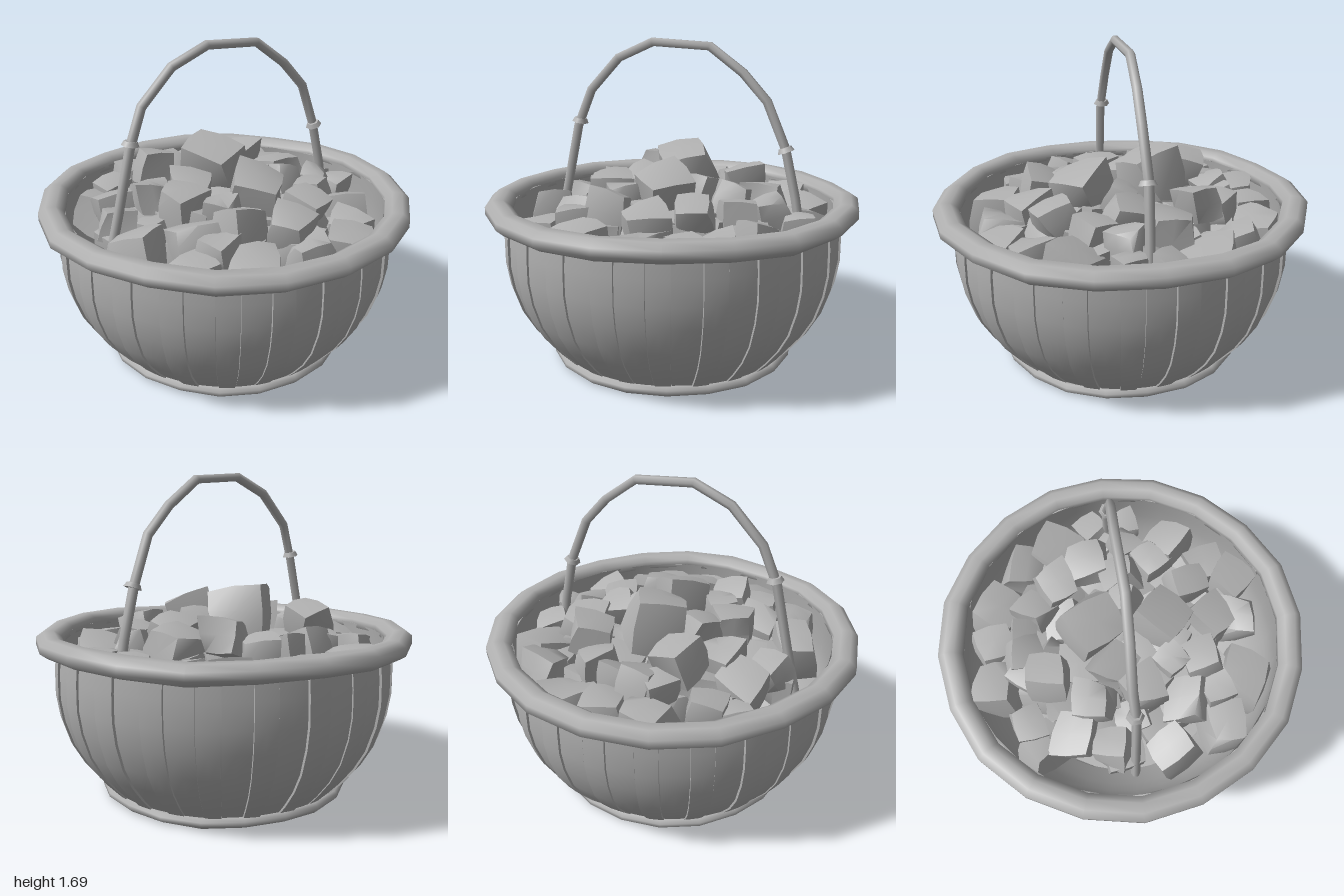
import * as THREE from 'three';
import { mergeVertices, toCreasedNormals } from 'three/addons/utils/BufferGeometryUtils.js';

const grey = new THREE.MeshStandardMaterial({ color: 0xb0b0b0 });
grey.name = 'grey';
const greyOpen = grey.clone();
greyOpen.name = 'grey';
greyOpen.side = THREE.DoubleSide;

let seed = 7;
const rand = () => (seed = (seed * 16807) % 2147483647) / 2147483647;
const jitter = (a) => (rand() * 2 - 1) * a;

function add(parent, name, geometry, material = grey) {
  const mesh = new THREE.Mesh(geometry, material);
  mesh.name = name;
  parent.add(mesh);
  return mesh;
}

// Bowl wall: radius and height from foot to rim
const wall = new THREE.SplineCurve([
  [0.62, 0.04], [0.73, 0.16], [0.825, 0.3], [0.885, 0.48], [0.9, 0.64], [0.885, 0.84],
].map(([r, y]) => new THREE.Vector2(r, y)));

// One plank bent along the wall profile
function staveGeometry(angle, half, lift) {
  const g = new THREE.BoxGeometry(2, 1, 0.02, 2, 7, 1);
  const p = g.attributes.position;
  for (let i = 0; i < p.count; i++) {
    const at = wall.getPoint(p.getY(i) + 0.5);
    const a = angle + p.getX(i) * half;
    const r = at.x + p.getZ(i) - 0.01 + lift;
    p.setXYZ(i, Math.sin(a) * r, at.y, Math.cos(a) * r);
  }
  return toCreasedNormals(g, 0.7);
}

// Uneven hoop: a rounded section swept round the axis
function ringGeometry(radius, halfWidth, halfHeight, sides, wobble) {
  const section = [];
  for (let i = 0; i <= 8; i++) {
    const a = (i / 8) * Math.PI * 2 - Math.PI / 8;
    section.push(new THREE.Vector2(radius + Math.cos(a) * halfWidth, Math.sin(a) * halfHeight));
  }
  const g = mergeVertices(new THREE.LatheGeometry(section, sides)
    .deleteAttribute('uv').deleteAttribute('normal'), 0.0001);
  const p = g.attributes.position;
  for (let i = 0; i < p.count; i++) {
    const a = Math.atan2(p.getX(i), p.getZ(i));
    const k = 1 + Math.sin(a * 7) * wobble * 0.6;
    p.setXYZ(i, p.getX(i) * k, p.getY(i) + Math.sin(a * 5) * wobble + jitter(wobble * 0.5), p.getZ(i) * k);
  }
  g.computeVertexNormals();
  return g;
}

// Lump: skewed, slightly bulging block with soft faces
function lumpGeometry(size) {
  const g = mergeVertices(new THREE.BoxGeometry(1, 1, 1, 2, 2, 2)
    .deleteAttribute('uv').deleteAttribute('normal'));
  const p = g.attributes.position;
  const corners = Array.from({ length: 8 }, () => new THREE.Vector3(jitter(0.16), jitter(0.16), jitter(0.16)));
  const v = new THREE.Vector3();
  for (let i = 0; i < p.count; i++) {
    v.fromBufferAttribute(p, i);
    const middles = [v.x, v.y, v.z].filter((c) => Math.abs(c) < 0.1).length;
    const [x, y, z] = [v.x + 0.5, v.y + 0.5, v.z + 0.5];
    v.multiplyScalar(1 + middles * 0.09);
    corners.forEach((c, n) => {
      v.addScaledVector(c, (n & 1 ? x : 1 - x) * (n & 2 ? y : 1 - y) * (n & 4 ? z : 1 - z));
    });
    v.multiplyScalar(size * 0.84);
    p.setXYZ(i, v.x, v.y, v.z);
  }
  return toCreasedNormals(g, 1.0);
}

// x, z, size and optional extra height of the lumps on top of the heap
const heap = [
  [-0.18, -0.7, 0.24], [0.05, -0.7, 0.22], [0.3, -0.7, 0.28], [-0.58, -0.54, 0.22], [-0.42, -0.54, 0.18],
  [-0.2, -0.4, 0.21, 0.1], [-0.17, -0.54, 0.16], [-0.05, -0.54, 0.18], [0.07, -0.53, 0.15], [0.22, -0.45, 0.2],
  [0.5, -0.5, 0.22], [0.32, -0.33, 0.2, 0.06], [0.62, -0.32, 0.27], [-0.52, -0.3, 0.24], [-0.6, -0.11, 0.2],
  [-0.35, -0.18, 0.22], [0.04, -0.15, 0.28, 0.12], [-0.18, -0.06, 0.22], [0.46, -0.14, 0.25], [0.7, -0.08, 0.16],
  [0.33, 0.05, 0.2], [-0.32, 0.08, 0.22], [-0.63, 0.19, 0.24], [-0.4, 0.3, 0.23], [0.03, 0.2, 0.27, 0.08],
  [0.7, 0.1, 0.16], [0.56, 0.08, 0.16], [0.42, 0.22, 0.19], [0.58, 0.35, 0.24], [0.25, 0.38, 0.21],
  [-0.18, 0.42, 0.22], [0.05, 0.5, 0.22], [-0.55, 0.52, 0.24], [-0.35, 0.48, 0.17], [0.42, 0.54, 0.22],
  [-0.28, 0.68, 0.28], [0.06, 0.67, 0.23], [0.3, 0.68, 0.22], [-0.17, 0.25, 0.17], [0.17, 0.03, 0.17],
];

export function createModel() {
  const model = new THREE.Group();
  model.name = 'basket';

  // Planked wall, broad and narrow staves in turn
  const staves = new THREE.Group();
  staves.name = 'staves';
  model.add(staves);
  const count = 44;
  for (let i = 0; i < count; i++) {
    const half = (Math.PI / count) * (i % 2 ? 1.08 : 0.86);
    add(staves, 'stave', staveGeometry((i / count) * Math.PI * 2, half, (i % 2 ? -0.004 : 0.005) + jitter(0.003)));
  }

  // Inner lining and floor
  const lining = wall.getPoints(10).map((q) => new THREE.Vector2(q.x - 0.027, q.y));
  add(model, 'lining', new THREE.LatheGeometry(lining, 32), greyOpen);
  add(model, 'floor', new THREE.CylinderGeometry(0.63, 0.63, 0.02, 24)).position.y = 0.035;

  // Top rim and foot ring
  add(model, 'rim', ringGeometry(0.931, 0.07, 0.053, 20, 0.007)).position.y = 0.838;
  add(model, 'footRing', ringGeometry(0.637, 0.032, 0.027, 20, 0.004)).position.y = 0.037;

  // Arched handle, straight between its bends
  const arch = new THREE.CatmullRomCurve3([
    [-0.71, 0.6], [-0.635, 0.9], [-0.56, 1.22], [-0.48, 1.42], [-0.31, 1.595], [-0.11, 1.68],
    [0.2, 1.66], [0.38, 1.53], [0.51, 1.39], [0.61, 1.15], [0.67, 0.9], [0.72, 0.62],
  ].map(([x, y], i) => new THREE.Vector3(x, y, (i % 3 - 1) * 0.006)));
  arch.getPointAt = arch.getPoint;
  arch.getTangentAt = arch.getTangent;
  add(model, 'handle', new THREE.TubeGeometry(arch, 11, 0.025, 6), greyOpen);

  // Bindings on the handle
  for (const [x, y, tilt] of [[-0.55, 1.25, -0.2], [0.61, 1.15, 0.35]]) {
    const binding = add(model, 'binding', new THREE.CylinderGeometry(0.034, 0.046, 0.025, 6));
    binding.position.set(x, y, 0);
    binding.rotation.z = tilt;
  }

  // Heaped lumps, kept clear of the wall: top layer, then a layer filling the gaps
  const lumps = new THREE.Group();
  lumps.name = 'lumps';
  model.add(lumps);
  const place = (x, z, size, y) => {
    const k = Math.min(1, (0.86 - 0.58 * size) / Math.hypot(x, z));
    const lump = add(lumps, 'lump', lumpGeometry(size));
    lump.position.set(x * k, y, z * k);
    lump.rotation.set(jitter(0.35), jitter(1.5), jitter(0.35));
  };
  for (const [x, z, size, extra = 0] of heap) {
    place(x, z, size, 1.02 + extra - 0.34 * (x * x + z * z) - size * 0.54 + jitter(0.02));
  }
  for (let i = 0; i < 40; i++) {
    const r = 0.62 * Math.sqrt((i + 0.5) / 40), a = i * 2.4;
    place(Math.cos(a) * r, Math.sin(a) * r, 0.21, 0.78 - 0.3 * r * r + jitter(0.03));
  }
  return model;
}
